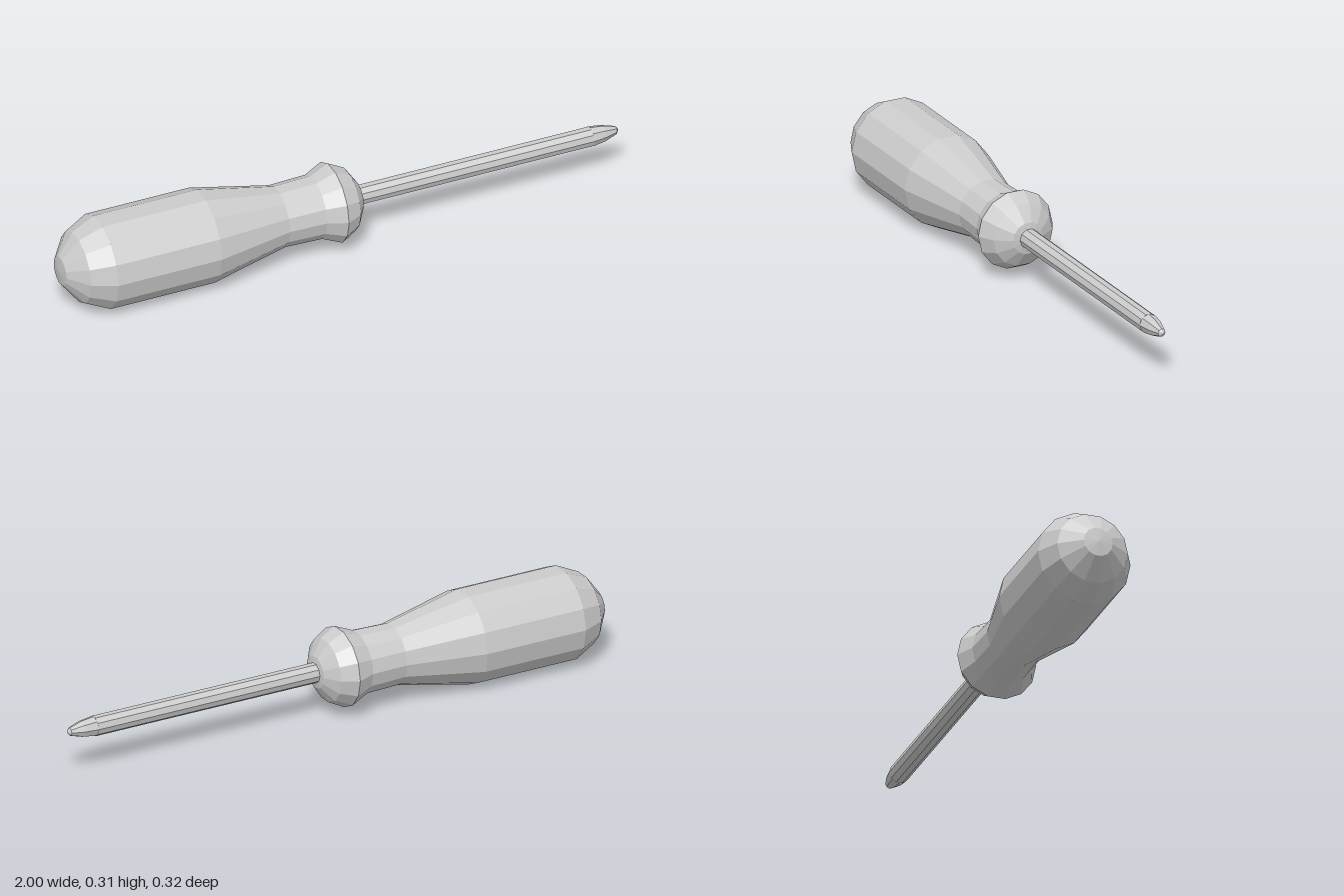
import * as THREE from 'three';

const AXIS_Y = 0.16;

// Faceted solid turned around the x axis from [x, radius] pairs
function turned(name, profile, sides, z = 0) {
  const points = profile.map(([x, r]) => new THREE.Vector2(r, x));
  const geometry = new THREE.LatheGeometry(points, sides);
  geometry.rotateZ(-Math.PI / 2);
  const material = new THREE.MeshStandardMaterial({ color: 0xcccccc, flatShading: true });
  const mesh = new THREE.Mesh(geometry, material);
  mesh.name = name;
  mesh.position.set(0, AXIS_Y, z);
  return mesh;
}

export function createModel() {
  const model = new THREE.Group();
  model.name = 'screwdriver';

  // Rounded butt, straight grip, then a taper to the neck
  model.add(turned('handle', [
    [-1, 0], [-0.995, 0.05], [-0.94, 0.122], [-0.86, 0.16],
    [-0.49, 0.16], [-0.22, 0.104], [-0.22, 0],
  ], 14));

  // Narrow neck flaring into a rounded collar
  model.add(turned('neckAndCollar', [
    [-0.22, 0], [-0.22, 0.104], [-0.09, 0.108], [-0.025, 0.136],
    [0.03, 0.108], [0.065, 0.055], [0.075, 0],
  ], 14));

  // Slim steel shaft
  model.add(turned('shaft', [
    [0.05, 0], [0.05, 0.034], [0.9, 0.034], [0.9, 0],
  ], 10, -0.002));

  // Tapered driving tip
  model.add(turned('tip', [
    [0.9, 0], [0.9, 0.034], [0.945, 0.028], [0.99, 0.014], [1, 0],
  ], 8, -0.002));

  return model;
}
